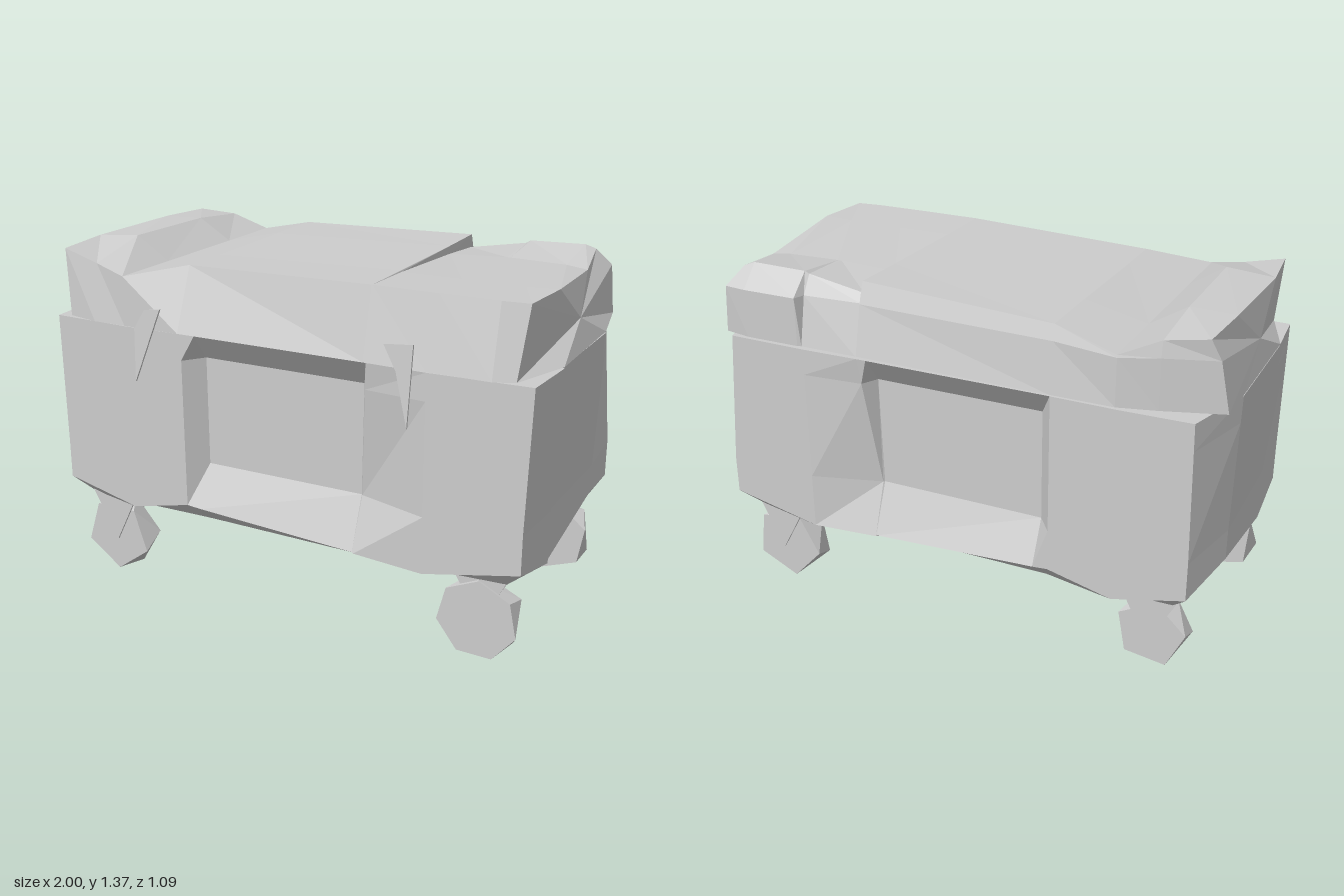
import * as THREE from 'three';
import { ConvexGeometry } from 'three/addons/geometries/ConvexGeometry.js';

const grey = new THREE.MeshStandardMaterial({ color: 0xcccccc, flatShading: true });
grey.name = 'light grey';
grey.side = THREE.DoubleSide;

// Join equal-length rings of points; each end is a fan around the given centre
function loft(rings, firstCentre, lastCentre) {
  const pos = [];
  const tri = (a, b, c) => pos.push(...a, ...b, ...c);
  const n = rings[0].length;
  for (let k = 0; k + 1 < rings.length; k++) {
    for (let i = 0; i < n; i++) {
      const j = (i + 1) % n, lo = rings[k], hi = rings[k + 1];
      tri(lo[i], lo[j], hi[j]);
      tri(lo[i], hi[j], hi[i]);
    }
  }
  const last = rings[rings.length - 1];
  for (let i = 0; i < n; i++) {
    const j = (i + 1) % n;
    tri(firstCentre, rings[0][j], rings[0][i]);
    tri(lastCentre, last[i], last[j]);
  }
  const g = new THREE.BufferGeometry();
  g.setAttribute('position', new THREE.Float32BufferAttribute(pos, 3));
  g.computeVertexNormals();
  return g;
}

function part(name, geometry) {
  const m = new THREE.Mesh(geometry, grey);
  m.name = name;
  return m;
}

// Chest body: columns of bottom x, top x, z, lower-edge height,
// recess depth at the panel's top and at its bottom
function bodyGeometry() {
  const middle = [
    [-0.65, -0.65, 0.505, 0.335, 0, 0], [-0.4, -0.4, 0.5, 0.39, 0, 0],
    [-0.34, -0.34, 0.5, 0.385, 0.08, 0.08], [0.32, 0.33, 0.5, 0.35, 0.08, 0.08],
    [0.325, 0.37, 0.5, 0.345, 0.015, 0.075], [0.6, 0.6, 0.505, 0.33, 0, 0],
  ];
  const backMiddle = middle
    .map(([b, t, z, y, d, e]) => [b, t, -z - 0.035, y, -d, -e]).reverse();
  const cols = [
    [-0.975, -0.98, 0.49, 0.4, 0, 0], ...middle, [0.965, 0.98, 0.49, 0.4, 0, 0],
    // Left side, with a shallow step in it
    [0.982, 0.998, 0.243, 0.345, 0, 0], [0.974, 0.99, 0.237, 0.345, 0, 0],
    [0.985, 0.998, -0.25, 0.44, 0, 0], [0.965, 0.92, -0.535, 0.4, 0, 0],
    ...backMiddle, [-0.925, -0.915, -0.535, 0.4, 0, 0],
    [-0.985, -0.998, -0.25, 0.43, 0, 0], [-0.98, -0.998, 0.24, 0.345, 0, 0],
  ];
  const level = (y, depth) => cols.map(c =>
    [THREE.MathUtils.lerp(c[0], c[1], (y - 0.55) / 0.53), y, c[2] - depth(c)]);
  return loft([
    cols.map(([x, , z, y]) => [x * 0.93, Math.min(0.325, y - 0.01), z * 0.88]),
    cols.map(([x, , z, y]) => [x, y, z]),
    level(0.55, c => c[5]),
    level(0.98, c => c[4]),
    level(1.083, () => 0),
  ], [0, 0.325, 0], [0, 1.083, 0]);
}

// Lid: sections along x. Each has x (one value, or one per ring point),
// front top z, four top heights, then back z at top, middle and bottom
function lidGeometry() {
  const leftEnd = [0.915, 0.94, 0.96, 0.92, 0.88, 0.93, 0.95, 1, 1];
  const rightEnd = [-0.915, -0.94, -0.965, -0.95, -0.93, -0.965, -1, -1, -1];
  const sections = [
    [leftEnd, 0.45, 1.35, 1.35, 1.32, 1.35, -0.47, -0.53, -0.52],
    [0.84, 0.46, 1.35, 1.345, 1.33, 1.365, -0.46, -0.54, -0.54],
    [0.62, 0.46, 1.35, 1.345, 1.335, 1.36, -0.455, -0.54, -0.54],
    [0.605, 0.46, 1.35, 1.345, 1.335, 1.35, -0.45, -0.495, -0.535],
    [0.372, 0.455, 1.35, 1.345, 1.325, 1.31, -0.45, -0.48, -0.535],
    [0.37, 0.455, 1.35, 1.35, 1.355, 1.36, -0.46, -0.49, -0.535],
    [-0.4, 0.42, 1.33, 1.33, 1.335, 1.335, -0.5, -0.52, -0.545],
    [-0.64, 0.515, 1.28, 1.28, 1.28, 1.28, -0.54, -0.543, -0.545],
    [-0.78, 0.485, 1.31, 1.37, 1.365, 1.34, -0.5, -0.51, -0.51],
    [rightEnd, 0.47, 1.35, 1.355, 1.36, 1.355, -0.465, -0.45, -0.44],
  ];
  return loft(sections.map(([x, zf, a, b, c, d, zTop, zMid, zLow]) => {
    const isEnd = Array.isArray(x);
    return [
      [1.09, isEnd ? 0.49 : 0.52], [a, zf], [b, 0.22], [c, -0.23], [d, zTop],
      [Math.min(1.28, d - 0.01), zMid], [1.093, zLow], [1.09, -0.25], [1.09, 0.25],
    ].map(([y, z], i) => [isEnd ? x[i] : x, y, z]);
  }), [0.972, 1.2, 0], [-0.98, 1.2, 0]);
}

// Thin flat plate from x, y corners, tilted about height y0 at depth z
function plate(points, z, y0 = 0, tilt = 0) {
  const shape = new THREE.Shape(points.map(([x, y]) => new THREE.Vector2(x, y - y0)));
  const g = new THREE.ExtrudeGeometry(shape, { depth: 0.008, bevelEnabled: false });
  return g.translate(0, 0, -0.004).rotateX(tilt).translate(0, y0, z);
}

// Chunky wheel: hull of two twisted polygons
function wheelGeometry(sides, turn, radius) {
  const pts = [];
  [[sides, 0.045, turn], [5, -0.045, turn + 0.4]].forEach(([n, z, t]) => {
    for (let i = 0; i < n; i++) {
      const a = t + i * Math.PI * 2 / n;
      pts.push(new THREE.Vector3(radius * Math.cos(a), radius * Math.sin(a), z));
    }
  });
  return new ConvexGeometry(pts);
}

export function createModel() {
  const model = new THREE.Group();
  model.name = 'wheeledChest';
  model.add(part('body', bodyGeometry()), part('lid', lidGeometry()));

  // Pointed latches hanging over the front seam
  const latches = {
    rightLatch: [[-0.585, 1.09], [-0.58, 0.885], [-0.47, 1.175], [-0.54, 1.165]],
    leftLatch: [[0.45, 1.17], [0.5, 1.08], [0.55, 0.885], [0.56, 1.18]],
  };
  for (const [name, corners] of Object.entries(latches)) {
    model.add(part(name, plate(corners, 0.533, 1.03, -0.07)));
  }

  // Four wheels, each between two pointed fork plates
  for (const [name, x, y, z, sides, turn, radius, gap] of [
    ['frontLeftWheel', 0.79, 0.16, 0.395, 7, -1.15, 0.157, 0.03],
    ['frontRightWheel', -0.8, 0.152, 0.395, 5, -Math.PI / 2, 0.152, 0.052],
    ['backLeftWheel', 0.8, 0.157, -0.418, 6, 0.35, 0.152, 0.052],
    ['backRightWheel', -0.78, 0.175, -0.418, 6, 0.05, 0.137, 0.052],
  ]) {
    const group = new THREE.Group();
    group.name = name;
    const wheel = part('wheel', wheelGeometry(sides, turn, radius));
    wheel.position.y = y;
    group.add(wheel);
    for (const s of [-1, 1]) {
      group.add(part('forkPlate', plate([[-0.1, 0.34], [0.01, 0.14], [0.11, 0.34]], s * gap)));
    }
    group.position.set(x, 0, z);
    model.add(group);
  }
  return model;
}
